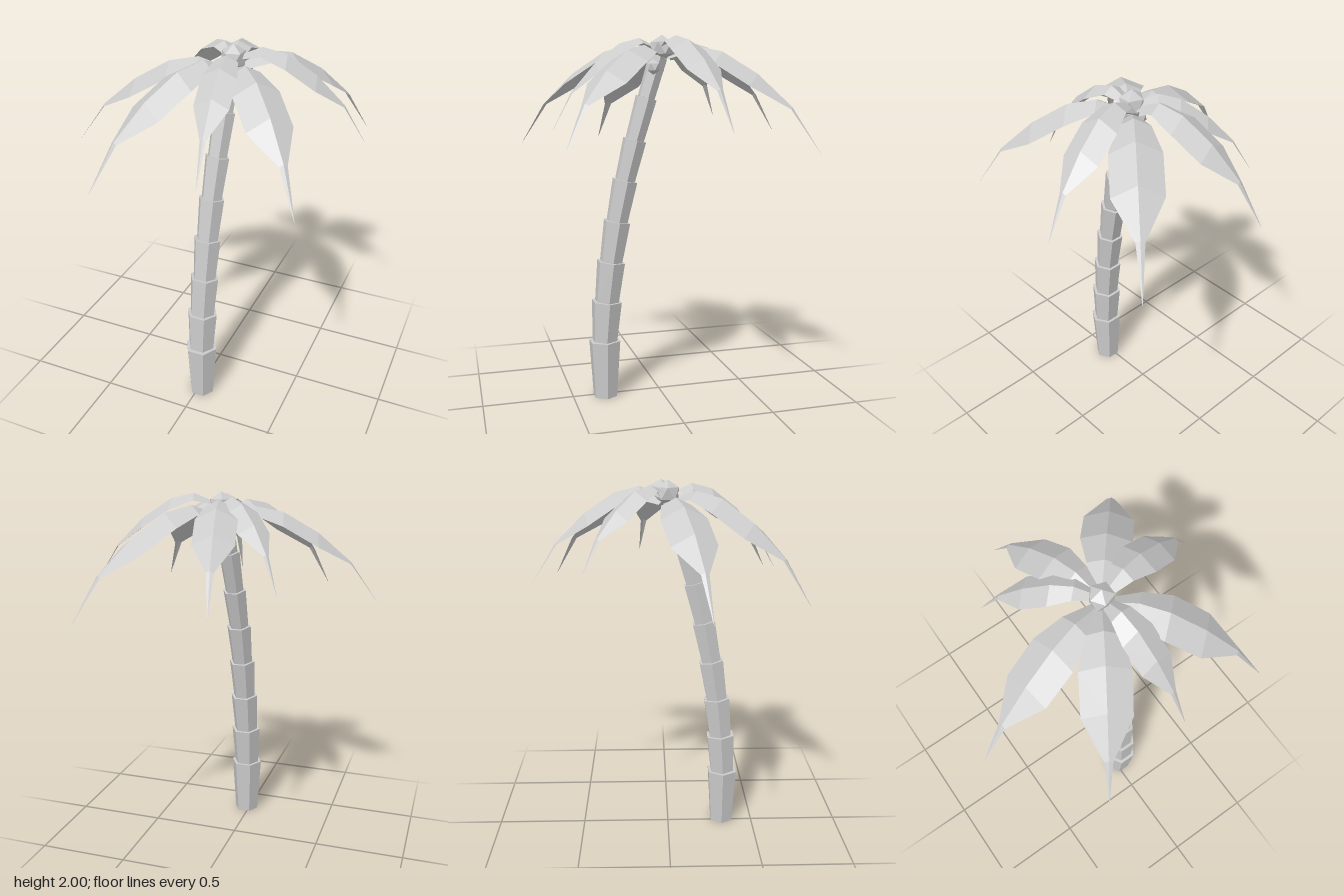
import * as THREE from 'three';

const grey = new THREE.MeshStandardMaterial({ color: 0xcccccc, flatShading: true });
const leaf = new THREE.MeshStandardMaterial({ color: 0xcccccc, flatShading: true, side: THREE.DoubleSide });

// Trunk joints: x, y, z and the radius of the flared rim there
const JOINTS = [
  [0.02, 0, 0.32, 0.07], [0.02, 0.325, 0.32, 0.092], [0.022, 0.55, 0.305, 0.087],
  [0.026, 0.775, 0.28, 0.081], [0.03, 1.0, 0.245, 0.076], [0.036, 1.225, 0.2, 0.071],
  [0.046, 1.445, 0.147, 0.066], [0.057, 1.67, 0.085, 0.06], [0.068, 1.89, 0.02, 0.052],
];

// Fronds: tip x, tip y, tip z and the height of the arch
const FRONDS = [
  [-0.1, 1.48, -0.72, 1.97], [0.63, 1.39, -0.67, 1.94], [0.74, 1.51, -0.16, 1.99],
  [0.62, 1.43, 0.61, 1.94], [0.14, 1.49, 0.61, 1.98], [-0.38, 1.41, 0.71, 1.95],
  [-0.75, 1.42, 0.19, 1.925], [-0.35, 1.56, -0.44, 1.98],
];

// Frond sections: fraction of length, fraction of arch height, half width / length
const SECTIONS = [
  [0.04, 0.9, 0.04], [0.21, 1, 0.095], [0.39, 0.94, 0.145],
  [0.61, 0.73, 0.143], [0.82, 0.43, 0.025], [1, 0, 0.001],
];
const CROWN = new THREE.Vector3(0.07, 1.93, 0);

// Hexagonal trunk piece, narrow below and flared above, pointing along the trunk
function trunkSegment(i) {
  const a = new THREE.Vector3(...JOINTS[i]);
  const b = new THREE.Vector3(...JOINTS[i + 1]);
  const axis = b.clone().sub(a);
  const bottom = i === 0 ? JOINTS[0][3] : JOINTS[i][3] * 0.8;
  const geo = new THREE.CylinderGeometry(JOINTS[i + 1][3], bottom, axis.length(), 6);
  geo.rotateY(Math.PI / 6 + Math.PI / 3 * 1); // corners on the x axis
  const mesh = new THREE.Mesh(geo, grey);
  mesh.position.copy(a).add(b).multiplyScalar(0.5);
  mesh.quaternion.setFromUnitVectors(new THREE.Vector3(0, 1, 0), axis.normalize());
  mesh.name = 'trunkSegment' + (i + 1);
  return mesh;
}

// Arched leaf with a raised midrib and drooping edges
function frond([tx, ty, tz, peak], n) {
  const dx = tx - CROWN.x, dz = tz - CROWN.z;
  const len = Math.hypot(dx, dz);
  const pos = [], index = [];
  SECTIONS.forEach(([f, h, w], i) => {
    const y = ty + (peak - ty) * h;
    for (const side of [1, 0, -1]) {
      const off = side * w;
      pos.push(CROWN.x + dx * f + dz * off, y - Math.abs(off) * len * 0.5, CROWN.z + dz * f - dx * off);
    }
    if (i === 0) return;
    for (const k of [0, 1]) {
      const a = (i - 1) * 3 + k, b = i * 3 + k;
      index.push(a, a + 1, b, a + 1, b + 1, b);
    }
  });
  const indexed = new THREE.BufferGeometry();
  indexed.setAttribute('position', new THREE.Float32BufferAttribute(pos, 3));
  indexed.setIndex(index);
  const geo = indexed.toNonIndexed();
  geo.computeVertexNormals();
  const mesh = new THREE.Mesh(geo, leaf);
  mesh.name = 'frond' + (n + 1);
  return mesh;
}

// Faceted ball with a corner pointing up
function ball(name, x, y, z, r) {
  const geo = new THREE.IcosahedronGeometry(r, 0);
  geo.rotateZ(Math.atan(2 / (1 + Math.sqrt(5))));
  const mesh = new THREE.Mesh(geo, grey);
  mesh.position.set(x, y, z);
  mesh.name = name;
  return mesh;
}

export function createModel() {
  const model = new THREE.Group();
  model.name = 'palmTree';

  const trunk = new THREE.Group();
  trunk.name = 'trunk';
  for (let i = 0; i < JOINTS.length - 1; i++) trunk.add(trunkSegment(i));

  const leaves = new THREE.Group();
  leaves.name = 'fronds';
  FRONDS.forEach((f, n) => leaves.add(frond(f, n)));

  // Heart of the crown and the nuts hanging beside the trunk
  model.add(trunk, leaves, ball('crownHeart', CROWN.x, CROWN.y, CROWN.z, 0.07));
  model.add(ball('leftNut', 0.13, 1.83, 0.065, 0.04), ball('rightNut', 0.012, 1.83, 0.01, 0.04));
  return model;
}
